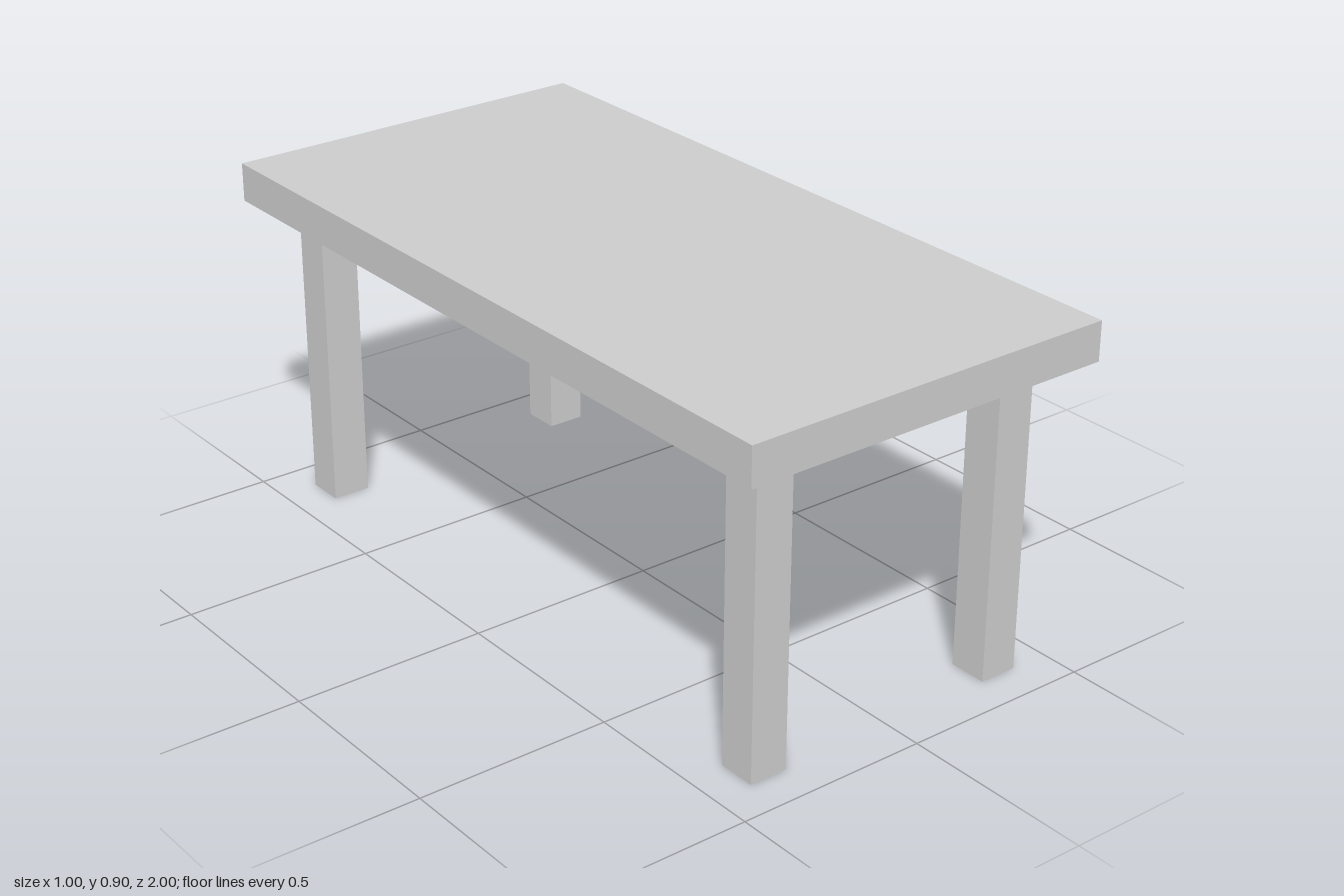
import * as THREE from 'three';

export function createModel() {
  const model = new THREE.Group();
  model.name = 'table';
  const material = new THREE.MeshStandardMaterial({ color: 0xcccccc });

  const addBox = (name, size, position) => {
    const mesh = new THREE.Mesh(new THREE.BoxGeometry(...size), material);
    mesh.name = name;
    mesh.position.set(...position);
    model.add(mesh);
  };

  // Table top slab
  addBox('tableTop', [1, 0.1, 2], [0, 0.85, 0]);

  // Four square legs, set in from the corners
  for (const [xName, x] of [['Left', 0.35], ['Right', -0.35]]) {
    for (const [zName, z] of [['front', 0.85], ['back', -0.85]]) {
      addBox(`${zName}${xName}Leg`, [0.1, 0.8, 0.1], [x, 0.4, z]);
    }
  }

  return model;
}
